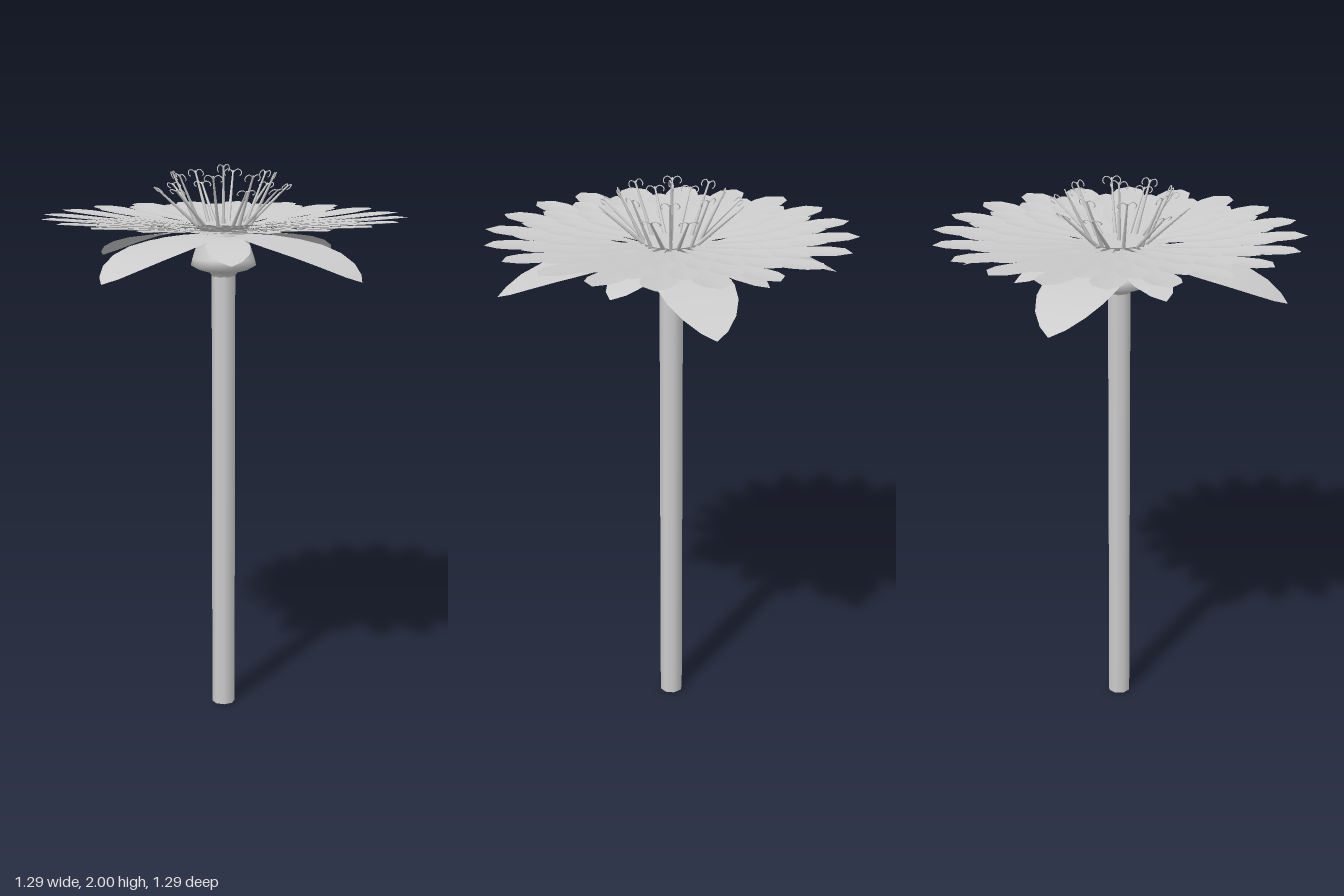
import * as THREE from 'three';

const solid = new THREE.MeshStandardMaterial({ color: 0xcccccc });
const thin = new THREE.MeshStandardMaterial({ color: 0xcccccc, side: THREE.DoubleSide });

// Thin leaf along +z from stations [radius, height, halfWidth]; edges lift by cup * width
function leafGeometry(stations, cup) {
  const pos = [], idx = [];
  const cols = [-1, -0.5, 0, 0.5, 1];
  stations.forEach(([r, y, w]) => {
    cols.forEach((c) => pos.push(c * w, y + cup * w * c * c, r));
  });
  const n = cols.length;
  for (let i = 0; i < stations.length - 1; i++) {
    for (let j = 0; j < n - 1; j++) {
      const a = i * n + j, b = a + 1, c = a + n, d = c + 1;
      idx.push(a, c, b, b, c, d);
    }
  }
  const g = new THREE.BufferGeometry();
  g.setAttribute('position', new THREE.Float32BufferAttribute(pos, 3));
  g.setIndex(idx);
  g.computeVertexNormals();
  return g;
}

// Repeat a leaf around the y axis
function ring(name, geometry, count, offset) {
  const group = new THREE.Group();
  group.name = name + 'Ring';
  for (let i = 0; i < count; i++) {
    const m = new THREE.Mesh(geometry, thin);
    m.name = name;
    m.rotation.y = offset + (i / count) * Math.PI * 2;
    group.add(m);
  }
  return group;
}

// Petal running from the central disc to radius tip
function petalGeometry(tip, baseY, tipY) {
  const start = 0.085;
  const outline = [
    [0, 0.015], [0.3, 0.042], [0.55, 0.072], [0.72, 0.09],
    [0.83, 0.093], [0.93, 0.072], [1, 0.002],
  ];
  return leafGeometry(outline.map(([t, w]) => [
    start + (tip - start) * t,
    baseY + (tipY - baseY) * Math.pow(t, 0.9),
    w * tip,
  ]), 0.08);
}

// Tapered filament standing on the origin with two curled arms at its top
function stamen(name, length) {
  const group = new THREE.Group();
  group.name = name;
  const stalk = new THREE.Mesh(new THREE.CylinderGeometry(0.003, 0.007, length, 6), solid);
  stalk.name = 'filament';
  stalk.position.y = length / 2;
  group.add(stalk);
  for (const s of [-1, 1]) {
    const curve = new THREE.CatmullRomCurve3([
      [0, -0.012], [0.008, 0], [0.02, 0.004], [0.03, -0.004], [0.031, -0.016], [0.025, -0.021],
    ].map(([x, y]) => new THREE.Vector3(s * x, length + y, 0)));
    const arm = new THREE.Mesh(new THREE.TubeGeometry(curve, 12, 0.002, 5), solid);
    arm.name = 'curledArm';
    group.add(arm);
  }
  return group;
}

export function createModel() {
  const flower = new THREE.Group();
  flower.name = 'flower';

  // Stem, open at the foot
  const stem = new THREE.Mesh(new THREE.CylinderGeometry(0.042, 0.042, 1.63, 8, 1, true), thin);
  stem.name = 'stem';
  stem.position.y = 0.815;
  flower.add(stem);

  // Bulbous cup under the bloom
  const cupProfile = [
    [0.04, 1.61], [0.05, 1.624], [0.09, 1.635], [0.116, 1.65],
    [0.11, 1.675], [0.1, 1.705], [0.088, 1.74], [0.08, 1.78],
  ].map(([x, y]) => new THREE.Vector2(x, y));
  const cup = new THREE.Mesh(new THREE.LatheGeometry(cupProfile, 20), thin);
  cup.name = 'cup';
  flower.add(cup);

  // Central disc carrying the stamens
  const disc = new THREE.Mesh(new THREE.CylinderGeometry(0.1, 0.085, 0.022, 24), solid);
  disc.name = 'centralDisc';
  disc.position.y = 1.784;
  flower.add(disc);

  // Four long drooping sepals and four short ones between them
  const longSepal = leafGeometry([
    [0.06, 1.762, 0.03], [0.15, 1.759, 0.085], [0.25, 1.748, 0.12], [0.34, 1.734, 0.13],
    [0.43, 1.713, 0.118], [0.51, 1.686, 0.088], [0.57, 1.658, 0.045], [0.605, 1.64, 0.002],
  ], 0);
  flower.add(ring('longSepal', longSepal, 4, 0));
  const shortSepal = leafGeometry([
    [0.06, 1.757, 0.03], [0.13, 1.752, 0.06], [0.21, 1.74, 0.078],
    [0.29, 1.721, 0.07], [0.35, 1.702, 0.04], [0.385, 1.69, 0.002],
  ], 0);
  flower.add(ring('shortSepal', shortSepal, 4, Math.PI / 4));

  // Four layers of petals, each turned half a step from the one below
  [[0.643, 1.768, 1.822], [0.537, 1.775, 1.822], [0.436, 1.782, 1.82], [0.345, 1.789, 1.82]]
    .forEach(([tip, baseY, tipY], i) => {
      const offset = (i % 2) * Math.PI / 20;
      flower.add(ring('petal', petalGeometry(tip, baseY, tipY), 20, offset));
    });

  // Upright pistil, then leaning stamens in fours
  const pistil = stamen('pistil', 0.206);
  pistil.position.y = 1.79;
  flower.add(pistil);
  const leaning = [[0, 0.84], [30, 0.84], [60, 0.45], [15, 0.45]];
  for (let quarter = 0; quarter < 4; quarter++) {
    for (const [degrees, lean] of leaning) {
      const pivot = new THREE.Group();
      pivot.name = 'stamenMount';
      pivot.rotation.y = Math.PI / 2 - THREE.MathUtils.degToRad(degrees + 90 * quarter);
      const s = stamen('stamen', 0.2);
      s.position.set(0, 1.79, 0.095);
      s.rotation.x = lean;
      pivot.add(s);
      flower.add(pivot);
    }
  }
  return flower;
}
